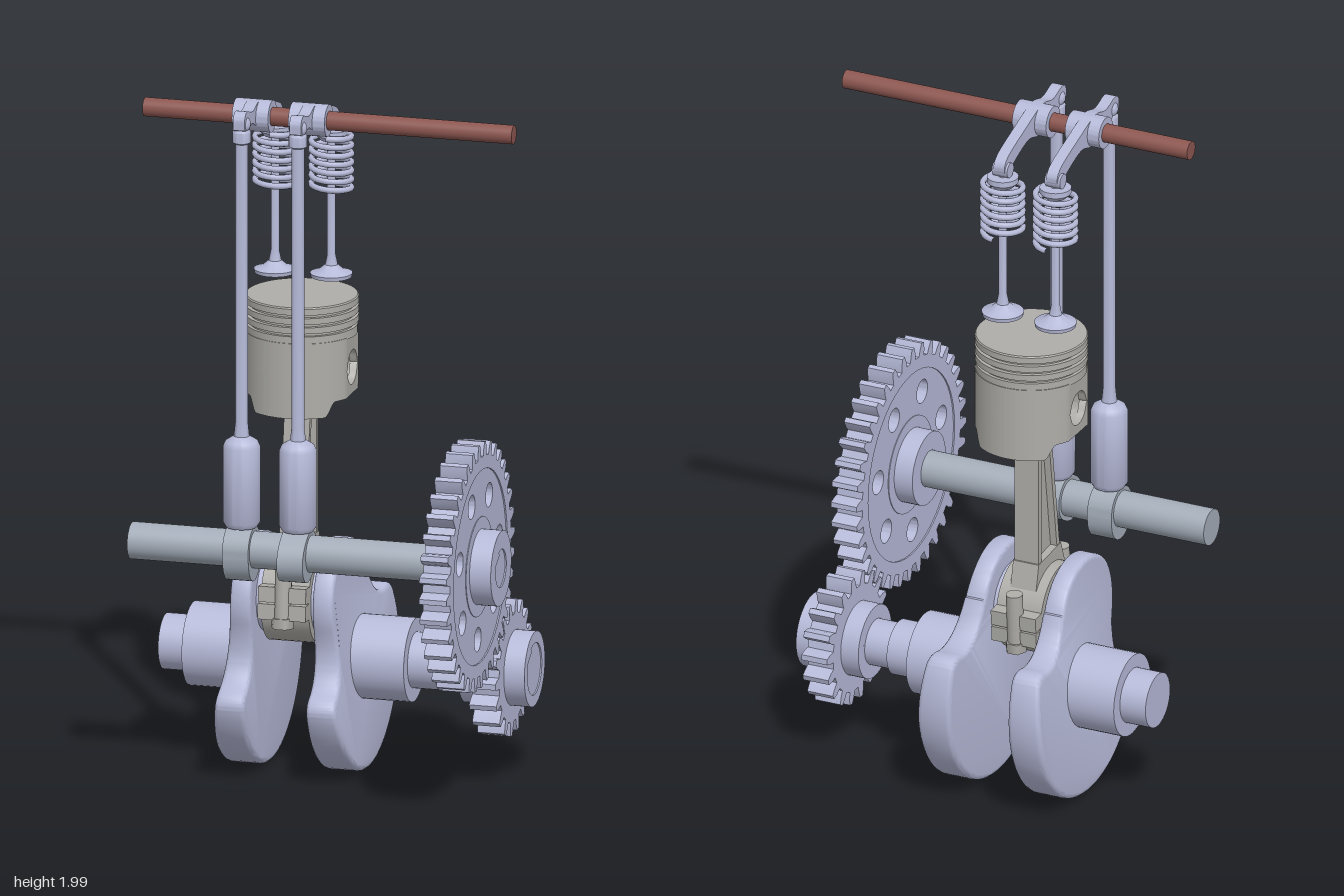
import * as THREE from 'three';
import { toCreasedNormals } from 'three/addons/utils/BufferGeometryUtils.js';

// Working frame: x = toward the back, y = up, z = along the shafts (turned into place at the end)
const mat = (color) => new THREE.MeshStandardMaterial({ color });
const steel = mat(0xb6bad8), camSteel = mat(0xa3acb8), alloy = mat(0xaeada8), red = mat(0x8c5650);
const MID = -0.135, VALVES = [-0.22, -0.055];
const CRANK = [0.19, 0.33], CAM = [-0.16, 0.72];
const PIN = 1.18, PISTON_X = 0.17;

function add(parent, name, geo, material, x = 0, y = 0, z = 0) {
  const m = new THREE.Mesh(geo, material);
  m.name = name;
  m.position.set(x, y, z);
  parent.add(m);
  return m;
}
function group(parent, name, x = 0, y = 0, z = 0) {
  const g = new THREE.Group();
  g.name = name;
  g.position.set(x, y, z);
  parent.add(g);
  return g;
}
const extrude = (shape, z0, z1, opts = {}) => toCreasedNormals(new THREE.ExtrudeGeometry(shape,
  { depth: z1 - z0, bevelEnabled: false, curveSegments: 24, ...opts }).translate(0, 0, z0), 0.6);
const rod = (r, z0, z1) => new THREE.CylinderGeometry(r, r, z1 - z0, 40).rotateX(Math.PI / 2).translate(0, 0, (z0 + z1) / 2);
const lathe = (pts, n = 40) => toCreasedNormals(new THREE.LatheGeometry(pts.map(p => new THREE.Vector2(...p)), n), 0.6);
const poly = (pts) => new THREE.Shape(pts.map(p => new THREE.Vector2(...p)));
const circle = (r, x = 0, y = 0) => new THREE.Path().absarc(x, y, r, 0, Math.PI * 2, true);
function disc(r, hole) {
  const s = new THREE.Shape().absarc(0, 0, r, 0, Math.PI * 2, false);
  if (hole) s.holes.push(circle(hole));
  return s;
}

// Toothed rim outline; phase is the angle of one tooth centre
function gearShape(n, root, tip, phase) {
  const pts = [], step = Math.PI * 2 / n;
  for (let i = 0; i < n; i++)
    for (const [f, r] of [[-0.3, root], [-0.24, (root + tip) / 2], [-0.12, tip], [0.12, tip], [0.24, (root + tip) / 2], [0.3, root]]) {
      const a = phase + (i + f) * step;
      pts.push([r * Math.cos(a), r * Math.sin(a)]);
    }
  return poly(pts);
}

function hub(parent, name, boreR) {
  add(parent, name, extrude(disc(0.108, boreR), 0.345, 0.54), steel);
  add(parent, name + 'ShaftEnd', rod(boreR, 0.345, 0.536), steel);
  add(parent, name + 'Key', new THREE.BoxGeometry(0.045, 0.025, 0.02), steel, -boreR * 0.75, boreR * 0.75, 0.53).rotation.z = 0.5;
}

function camshaft(root) {
  const g = group(root, 'camshaft', ...CAM);
  add(g, 'camShaftBar', rod(0.053, -0.54, 0.36), camSteel);
  // Egg-shaped lobes
  VALVES.forEach((z, i) => {
    const pts = [];
    for (let k = 0; k < 48; k++) {
      const a = k / 48 * Math.PI * 2;
      const r = 0.066 + 0.026 * Math.max(0, Math.cos(a)) ** 2;
      pts.push([r * Math.cos(a), r * Math.sin(a)]);
    }
    add(g, 'camLobe', extrude(poly(pts), z - 0.038, z + 0.038), camSteel).rotation.z = i ? -2.6 : -1.5;
  });
  // Timing gear: toothed rim around a slightly thinner pierced web
  const mesh = Math.atan2(CRANK[1] - CAM[1], CRANK[0] - CAM[0]);
  const rim = gearShape(36, 0.318, 0.357, mesh);
  rim.holes.push(circle(0.28));
  add(g, 'camGearRim', extrude(rim, 0.4, 0.48), steel);
  const web = disc(0.285, 0.1);
  for (let i = 0; i < 7; i++) {
    const a = -Math.PI / 2 - 0.07 + i * Math.PI * 2 / 7;
    web.holes.push(circle(0.035, 0.21 * Math.cos(a), 0.21 * Math.sin(a)));
  }
  add(g, 'camGearWeb', extrude(web, 0.404, 0.476), steel);
  add(g, 'camGearCollar', extrude(disc(0.143, 0.1), 0.402, 0.478), steel);
  hub(g, 'camGearHub', 0.055);
}

function crankshaft(root) {
  const g = group(root, 'crankshaft', ...CRANK);
  for (const [r, a, b] of [[0.08, -0.54, -0.45], [0.12, -0.46, -0.25], [0.12, -0.02, 0.19], [0.08, 0.18, 0.27], [0.067, 0.26, 0.36]])
    add(g, 'mainJournal', rod(r, a, b), steel);
  const mesh = Math.atan2(CAM[1] - CRANK[1], CAM[0] - CRANK[0]);
  add(g, 'crankGear', extrude(gearShape(18, 0.157, 0.196, mesh + Math.PI / 18), 0.4, 0.48), steel);
  hub(g, 'crankGearHub', 0.075);

  // Crank throw: two mirrored webs with fan counterweights, joined by the pin
  const thrw = group(g, 'crankThrow', 0, 0, MID);
  thrw.rotation.z = 0.35;
  add(thrw, 'crankPin', rod(0.11, -0.11, 0.11), steel, 0, 0.2);
  const s = new THREE.Shape();
  s.absarc(0, 0, 0.325, Math.PI, Math.PI * 2, false);
  s.quadraticCurveTo(0.325, 0.045, 0.27, 0.05);
  s.quadraticCurveTo(0.18, 0.07, 0.178, 0.2);
  s.absarc(0, 0.2, 0.172, 0.02, Math.PI - 0.02, false);
  s.quadraticCurveTo(-0.18, 0.07, -0.27, 0.05);
  s.quadraticCurveTo(-0.325, 0.045, -0.325, 0);
  const geo = new THREE.ExtrudeGeometry(s, { depth: 0.075, curveSegments: 20, bevelSize: 0.015, bevelThickness: 0.015, bevelOffset: -0.015, bevelSegments: 3 });
  const p = geo.attributes.position;
  // Web gets thinner on its outer face toward the pin
  for (let i = 0; i < p.count; i++) {
    const t = THREE.MathUtils.smoothstep(p.getY(i), -0.2, 0.3);
    p.setZ(i, 0.09 + (p.getZ(i) + 0.015) * (1 - 0.42 * t));
  }
  const web = toCreasedNormals(geo, 0.7);
  for (const side of [1, -1]) add(thrw, 'crankWeb', web, steel).scale.z = side;
}

function connectingRod(root) {
  const x = CRANK[0] - 0.2 * Math.sin(0.35), y = CRANK[1] + 0.2 * Math.cos(0.35);
  const dx = PISTON_X - x, dy = PIN - y, L = Math.hypot(dx, dy);
  const g = group(root, 'connectingRod', x, y, MID);
  g.rotation.z = -Math.atan2(dx, dy);
  add(g, 'bigEnd', extrude(disc(0.135, 0.108), -0.07, 0.07), alloy);
  add(g, 'smallEnd', extrude(disc(0.07, 0.05), -0.04, 0.04), alloy, 0, L);
  // I-beam shank
  const y0 = 0.115, y1 = L - 0.055, w0 = 0.072, w1 = 0.036, f = 0.018;
  add(g, 'shankWeb', extrude(poly([[-w0, y0], [w0, y0], [w1, y1], [-w1, y1]]), -0.018, 0.018), alloy);
  add(g, 'shankFoot', extrude(poly([[-0.1, 0.08], [0.1, 0.08], [w0, 0.17], [-w0, 0.17]]), -0.04, 0.04), alloy);
  for (const s of [1, -1]) {
    const pts = [[s * (w0 - f), y0], [s * w0, y0], [s * w1, y1], [s * (w1 - f), y1]];
    add(g, 'shankFlange', extrude(poly(s > 0 ? pts : pts.reverse()), -0.038, 0.038), alloy);
    // Cap shoulders and bolts
    add(g, 'capShoulder', new THREE.BoxGeometry(0.05, 0.045, 0.14), alloy, s * 0.14, 0.026);
    add(g, 'capLug', new THREE.BoxGeometry(0.05, 0.045, 0.14), alloy, s * 0.14, -0.024);
    add(g, 'capBolt', new THREE.CylinderGeometry(0.024, 0.024, 0.16, 20), alloy, s * 0.152, 0.03);
    add(g, 'boltHead', new THREE.CylinderGeometry(0.032, 0.032, 0.03, 6), alloy, s * 0.152, -0.055);
  }
}

function piston(root) {
  const g = group(root, 'piston', PISTON_X, 0, MID);
  // Crown with three ring grooves
  const prof = [[0, 1.275], [0.158, 1.275], [0.158, 1.3]];
  for (const y of [1.3, 1.327, 1.354])
    prof.push([0.148, y], [0.148, y + 0.009], [0.16, y + 0.009], [0.16, y + 0.027]);
  prof.push([0.157, 1.385], [0, 1.385]);
  add(g, 'pistonCrown', lathe(prof, 64), alloy);
  // Skirt: swept wall bands below and above the pin line, leaving round pin holes
  const N = 160, R = 0.16;
  const bore = (x) => Math.sqrt(Math.max(0, 0.05 ** 2 - x * x));
  const bottom = (x) => 1.06 + 0.043 * (1 - THREE.MathUtils.smoothstep(Math.abs(x), 0.1, 0.125));
  const band = (lo, hi) => {
    const pos = [], idx = [];
    for (let i = 0; i <= N; i++) {
      const a = i / N * Math.PI * 2, x = R * Math.cos(a);
      const put = (r, y) => pos.push(r * Math.cos(a), y, THREE.MathUtils.clamp(r * Math.sin(a), -r * 0.92, r * 0.92));
      put(R, lo(x)); put(R, hi(x)); put(R - 0.022, hi(x)); put(R - 0.022, lo(x));
      if (i < N) for (let k = 0; k < 4; k++) {
        const p = i * 4 + k, q = i * 4 + (k + 1) % 4;
        idx.push(p, q, p + 4, q, q + 4, p + 4);
      }
    }
    const geo = new THREE.BufferGeometry();
    geo.setAttribute('position', new THREE.Float32BufferAttribute(pos, 3));
    geo.setIndex(idx);
    return toCreasedNormals(geo, 0.5);
  };
  add(g, 'skirtLower', band(bottom, x => PIN - bore(x)), alloy);
  add(g, 'skirtUpper', band(x => PIN + bore(x), () => 1.28), alloy);
  for (const s of [1, -1]) add(g, 'pinBoss', extrude(disc(0.068, 0.05), -0.042, 0.042), alloy, 0, PIN, s * 0.092);
}

function valveTrain(root, z) {
  const g = group(root, 'valveTrain', 0, 0, z);
  // Valve with retainer
  add(g, 'valve', lathe([[0, 1.435], [0.058, 1.435], [0.06, 1.446], [0.035, 1.455], [0.018, 1.47], [0.012, 1.5], [0.012, 1.87], [0, 1.87]]), steel, 0.19);
  add(g, 'springRetainer', lathe([[0, 1.835], [0.03, 1.835], [0.045, 1.85], [0.045, 1.866], [0, 1.866]]), steel, 0.19);
  const pts = [];
  for (let i = 0; i <= 104; i++) {
    const a = i / 16 * Math.PI * 2;
    pts.push(new THREE.Vector3(0.057 * Math.cos(a), 1.69 + 0.162 * i / 104, 0.057 * Math.sin(a)));
  }
  add(g, 'valveSpring', new THREE.TubeGeometry(new THREE.CatmullRomCurve3(pts), 180, 0.009, 8), steel, 0.19);
  // Lifter and pushrod
  add(g, 'lifter', lathe([[0, 0.785], [0.044, 0.785], [0.053, 0.8], [0.053, 1.02], [0.046, 1.035], [0.022, 1.05], [0, 1.05]]), steel, -0.158);
  add(g, 'pushrod', lathe([[0, 1.03], [0.024, 1.03], [0.018, 1.09], [0.018, 1.905], [0.026, 1.91], [0.026, 1.94], [0.016, 1.955], [0, 1.96]]), steel, -0.158);
  // Rocker arm
  const arm = new THREE.Shape();
  arm.moveTo(-0.185, 1.95);
  arm.splineThru([[-0.185, 1.985], [-0.16, 2.0], [-0.1, 1.985], [-0.03, 1.998], [0.08, 1.968], [0.19, 1.93], [0.215, 1.895], [0.19, 1.866],
    [0.165, 1.89], [0.06, 1.925], [-0.02, 1.91], [-0.1, 1.95], [-0.15, 1.94], [-0.185, 1.95]].map(p => new THREE.Vector2(...p)));
  add(g, 'rockerArm', extrude(arm, -0.017, 0.017, { curveSegments: 5 }), steel);
  add(g, 'rockerHub', extrude(disc(0.046, 0.026), -0.053, 0.053), steel, -0.026, 1.953);
  add(g, 'rockerSocket', new THREE.SphereGeometry(0.026, 20, 12), steel, -0.158, 1.962);
  add(g, 'rockerTip', rod(0.022, -0.024, 0.024), steel, 0.19, 1.888);
}

export function createModel() {
  const model = new THREE.Group();
  model.name = 'engineValveTrain';
  const root = group(model, 'mechanism');
  root.rotation.y = Math.PI / 2;
  add(root, 'rockerShaft', rod(0.027, -0.54, 0.54), red, -0.026, 1.953);
  camshaft(root);
  crankshaft(root);
  connectingRod(root);
  piston(root);
  VALVES.forEach(z => valveTrain(root, z));
  return model;
}
